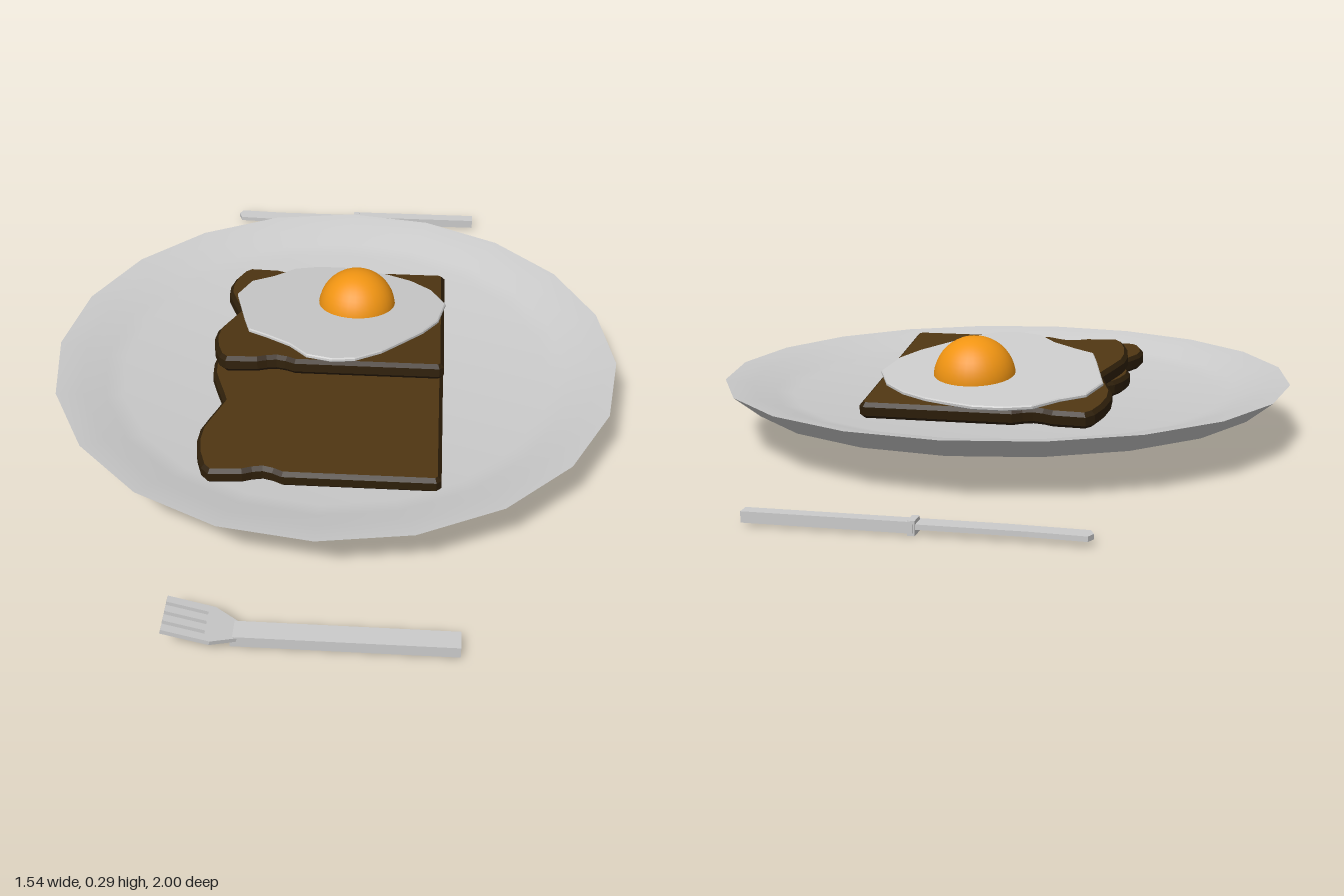
import * as THREE from 'three';
import { toCreasedNormals } from 'three/addons/utils/BufferGeometryUtils.js';

const grey = new THREE.MeshStandardMaterial({ color: 0xcccccc });
const crumb = new THREE.MeshStandardMaterial({ color: 0x4f3612 });
const crust = new THREE.MeshStandardMaterial({ color: 0x2e1f0a });
const eggWhite = new THREE.MeshStandardMaterial({ color: 0xeeeeee });
const yolkOrange = new THREE.MeshStandardMaterial({ color: 0xf09412 });

function add(parent, name, geometry, material, x = 0, y = 0, z = 0) {
  const mesh = new THREE.Mesh(geometry, material);
  mesh.name = name;
  mesh.position.set(x, y, z);
  parent.add(mesh);
  return mesh;
}

// Horizontal slab standing on y = 0 from an outline of [x, z] points
function slab(points, height, bevel = 0) {
  const shape = new THREE.Shape(points.map(([x, z]) => new THREE.Vector2(x, -z)));
  const geometry = new THREE.ExtrudeGeometry(shape, {
    depth: height - 2 * bevel, bevelEnabled: bevel > 0, bevelThickness: bevel,
    bevelSize: bevel, bevelOffset: -bevel, bevelSegments: 1,
  });
  return geometry.rotateX(-Math.PI / 2).translate(0, bevel, 0);
}

function box(parent, name, x0, x1, y0, y1, z0, z1) {
  return add(parent, name, new THREE.BoxGeometry(x1 - x0, y1 - y0, z1 - z0), grey,
    (x0 + x1) / 2, (y0 + y1) / 2, (z0 + z1) / 2);
}

function makeToast() {
  // Half outline from the straight edge round to the wavy one, mirrored in z
  const half = [[0.285, 0.297], [0.297, 0.285]];
  const wavy = [[-0.285, 0], [-0.295, 0.03], [-0.31, 0.07], [-0.327, 0.12], [-0.33, 0.17],
    [-0.322, 0.225], [-0.305, 0.275], [-0.285, 0.297], [-0.2, 0.292], [-0.175, 0.282],
    [-0.15, 0.277], [-0.125, 0.284], [-0.1, 0.297]];
  const flip = ([x, z]) => [x, -z];
  const outline = [...wavy, ...half, ...half.map(flip).reverse(),
    ...wavy.slice(1).map(flip).reverse()];
  // Corner order runs counter-clockwise in the shape plane either way
  return slab(outline, 0.043, 0.01);
}

function makeFork() {
  const fork = new THREE.Group();
  fork.name = 'fork';
  box(fork, 'forkHandle', -0.18, 0.35, 0.002, 0.032, -0.026, 0.026);
  // Flared head and four tines, bent upwards from the handle
  const head = new THREE.Group();
  head.name = 'forkHead';
  head.position.set(-0.175, 0.02, 0);
  head.rotation.z = -0.26;
  fork.add(head);
  add(head, 'forkNeck', slab([[0.01, -0.026], [-0.05, -0.055], [-0.065, -0.055],
    [-0.065, 0.055], [-0.05, 0.055], [0.01, 0.026]], 0.012), grey);
  for (let i = 0; i < 4; i++) {
    const z = -0.045 + i * 0.03;
    box(head, 'forkTine', -0.165, -0.06, 0, 0.012, z - 0.01, z + 0.01);
  }
  return fork;
}

function makeKnife() {
  const knife = new THREE.Group();
  knife.name = 'knife';
  box(knife, 'knifeHandle', 0, 0.39, 0.006, 0.032, -1, -0.967);
  box(knife, 'knifeBolster', -0.005, 0.012, 0, 0.034, -0.998, -0.955);
  add(knife, 'knifeBlade', slab([[-0.39, -0.98], [-0.38, -1], [-0.25, -0.993], [0, -0.993],
    [0.02, -0.967], [0, -0.947], [-0.2, -0.947], [-0.38, -0.955]], 0.012), grey, 0, 0.013, 0);
  return knife;
}

export function createModel() {
  const model = new THREE.Group();
  model.name = 'breakfast';

  // Plate with a sloped rim and shallow well
  const profile = [[0, 0.1], [0.7, 0.1], [0.77, 0.155], [0.7, 0.143], [0.64, 0.122],
    [0.59, 0.112], [0, 0.11]].map(([r, y]) => new THREE.Vector2(r, y));
  add(model, 'plate', toCreasedNormals(new THREE.LatheGeometry(profile, 20), 0.55), grey);

  // Lower slice lies flat, the upper one leans on it
  add(model, 'lowerToast', makeToast(), [crumb, crust], 0, 0.111, 0.232);
  const upper = new THREE.Group();
  upper.name = 'eggOnToast';
  upper.position.set(0, 0.151, -0.132);
  upper.rotation.x = -0.14;
  model.add(upper);
  add(upper, 'upperToast', makeToast(), [crumb, crust]);

  // Fried egg
  const white = [[0, -0.44], [0.07, -0.42], [0.13, -0.4], [0.2, -0.36], [0.26, -0.3],
    [0.3, -0.21], [0.28, -0.1], [0.24, -0.03], [0.19, 0.03], [0.13, 0.1], [0.06, 0.15],
    [0, 0.16], [-0.07, 0.14], [-0.12, 0.08], [-0.19, 0.03], [-0.24, 0], [-0.26, -0.07],
    [-0.28, -0.15], [-0.3, -0.23], [-0.27, -0.32], [-0.21, -0.36], [-0.15, -0.42],
    [-0.08, -0.44]].map(([x, z]) => [x, z + 0.138]);
  add(upper, 'eggWhite', slab(white, 0.012, 0.003), eggWhite, 0, 0.041, 0);
  add(upper, 'yolk', new THREE.SphereGeometry(0.109, 32, 12, 0, Math.PI * 2, 0, Math.PI / 2),
    yolkOrange, 0.047, 0.042, -0.06);

  // Cutlery
  const fork = makeFork();
  fork.position.z = 0.943;
  model.add(fork, makeKnife());
  return model;
}
